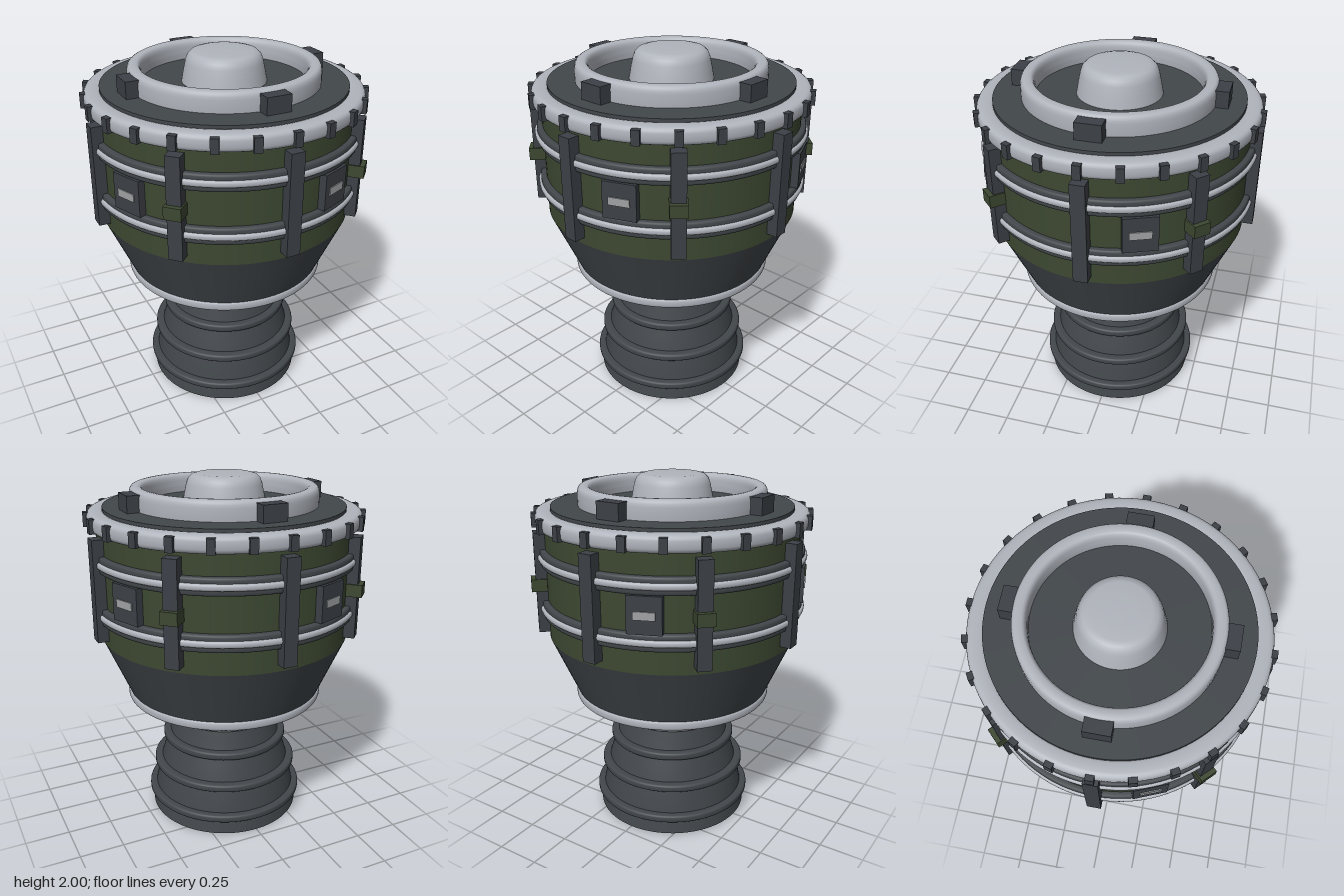
import * as THREE from 'three';

const mat = (name, color, side = THREE.FrontSide) => {
  const m = new THREE.MeshStandardMaterial({ color, side });
  m.name = name;
  return m;
};

export function createModel() {
  const root = new THREE.Group();
  root.name = 'rocketEngineStage';
  const light = mat('light grey metal', 0xb0b4bc);
  const dark = mat('dark grey metal', 0x42474b);
  const darkOpen = mat('dark grey nozzle', 0x42474b, THREE.DoubleSide);
  const strapGrey = mat('strap grey', 0x3c4046);
  const green = mat('olive green', 0x3c4831);
  const plateGrey = mat('plate grey', 0x9fa1a3);

  const add = (name, geometry, material, parent = root) => {
    const mesh = new THREE.Mesh(geometry, material);
    mesh.name = name;
    parent.add(mesh);
    return mesh;
  };
  // Turned part from [radius, height] points, listed bottom to top
  const lathe = (name, pts, material) =>
    add(name, new THREE.LatheGeometry(pts.map(p => new THREE.Vector2(...p)), 96), material);
  // Straight turned part with sharp edges
  const drum = (name, rBottom, rTop, y0, y1, material) => {
    const m = add(name, new THREE.CylinderGeometry(rTop, rBottom, y1 - y0, 96), material);
    m.position.y = (y0 + y1) / 2;
    return m;
  };
  // Ring with a rounded-square section; power 1 is round, smaller is squarer
  const ring = (name, r0, r1, y0, y1, material, power = 0.55) => {
    const bend = v => Math.sign(v) * Math.abs(v) ** power;
    const pts = [];
    for (let i = 0; i <= 24; i++) {
      const a = (i / 24) * Math.PI * 2 + Math.PI;
      pts.push([(r0 + r1) / 2 + bend(Math.cos(a)) * (r1 - r0) / 2,
        (y0 + y1) / 2 + bend(Math.sin(a)) * (y1 - y0) / 2]);
    }
    return lathe(name, pts, material);
  };
  // Boxes spaced evenly around the axis, each facing outwards
  const around = (name, count, startDeg, w, y0, y1, r0, r1, material) => {
    const group = new THREE.Group();
    group.name = name + 's';
    const geometry = new THREE.BoxGeometry(w, y1 - y0, r1 - r0);
    geometry.translate(0, (y0 + y1) / 2, (r0 + r1) / 2);
    for (let i = 0; i < count; i++) {
      const a = THREE.MathUtils.degToRad(startDeg) + (i / count) * Math.PI * 2;
      add(name, geometry, material, group).rotation.y = a;
    }
    root.add(group);
  };

  // Hollow nozzle bell with stiffening rings
  lathe('nozzleBell', [[0.44, 0], [0.425, 0.1], [0.408, 0.19], [0.385, 0.29],
    [0.355, 0.39], [0.325, 0.48], [0.29, 0.62]], darkOpen);
  drum('nozzleThroat', 0.285, 0.285, 0.61, 0.63, dark);
  ring('nozzleRing', 0.40, 0.46, 0.082, 0.127, dark);
  ring('nozzleRing', 0.36, 0.425, 0.262, 0.307, dark);
  ring('nozzleRing', 0.31, 0.367, 0.437, 0.482, dark);

  // Collar and neck
  ring('nozzleCollar', 0.22, 0.33, 0.592, 0.697, light);
  drum('neck', 0.24, 0.25, 0.65, 0.76, dark);

  // Tapered lower body
  ring('baseRing', 0.495, 0.565, 0.73, 0.79, light, 0.65);
  drum('lowerCone', 0.54, 0.70, 0.745, 1.115, dark);

  // Main drum with double hoops
  drum('mainDrum', 0.70, 0.70, 1.115, 1.75, green);
  for (const y of [1.29, 1.575]) {
    ring('hoopBand', 0.68, 0.73, y - 0.046, y + 0.046, dark, 0.4);
    ring('hoopRail', 0.70, 0.742, y - 0.019, y + 0.019, light, 0.8);
  }

  // Straps, clamps and access panels
  around('strap', 8, 0, 0.076, 1.155, 1.71, 0.69, 0.76, strapGrey);
  around('strapClamp', 4, 45, 0.092, 1.39, 1.458, 0.70, 0.785, green);
  around('accessPanel', 4, 22.5, 0.178, 1.335, 1.53, 0.67, 0.735, strapGrey);
  around('panelPlate', 4, 22.5, 0.112, 1.41, 1.452, 0.733, 0.741, plateGrey);

  // Upper rim with clips
  ring('upperRim', 0.64, 0.745, 1.73, 1.822, light, 0.65);
  around('rimClip', 24, 0, 0.042, 1.737, 1.813, 0.71, 0.763, strapGrey);
  drum('topDeck', 0.66, 0.66, 1.74, 1.836, dark);

  // Top ring, its lugs and the central dome
  ring('topRing', 0.438, 0.514, 1.8, 1.94, light, 0.6);
  around('topLug', 4, 0, 0.135, 1.83, 1.925, 0.49, 0.575, strapGrey);
  lathe('centralDome', [[0.228, 1.83], [0.217, 1.89], [0.205, 1.945], [0.195, 1.972],
    [0.177, 1.99], [0.15, 1.997], [0.08, 1.999], [0, 2]], light);

  return root;
}
